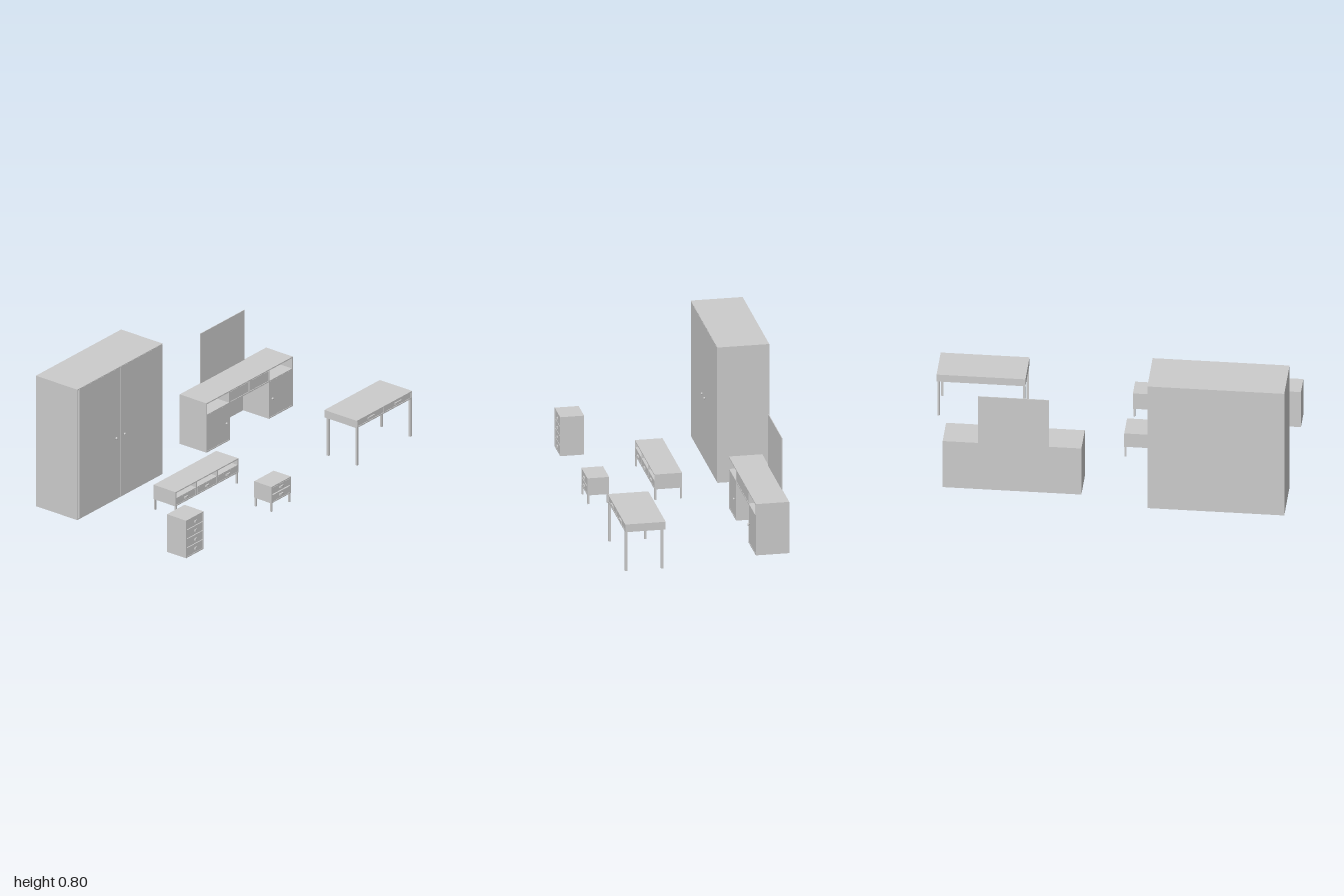
import * as THREE from 'three';

const mat = new THREE.MeshStandardMaterial({ color: 0xcccccc });
const T = 0.007; // board thickness

function add(group, name, geometry) {
  const mesh = new THREE.Mesh(geometry, mat);
  mesh.name = name;
  group.add(mesh);
  return mesh;
}

// Box given by its two extreme corners
function box(group, name, x0, x1, y0, y1, z0, z1) {
  const mesh = add(group, name, new THREE.BoxGeometry(x1 - x0, y1 - y0, z1 - z0));
  mesh.position.set((x0 + x1) / 2, (y0 + y1) / 2, (z0 + z1) / 2);
  return mesh;
}

// Case of boards, open at the front
function carcass(group, x0, x1, y0, y1, z0, z1) {
  box(group, 'topBoard', x0, x1, y1 - T, y1, z0, z1);
  box(group, 'bottomBoard', x0, x1, y0, y0 + T, z0, z1);
  box(group, 'sideBoardRight', x0, x0 + T, y0 + T, y1 - T, z0, z1);
  box(group, 'sideBoardLeft', x1 - T, x1, y0 + T, y1 - T, z0, z1);
  box(group, 'backBoard', x0 + T, x1 - T, y0 + T, y1 - T, z0, z0 + T);
}

function legs(group, x0, x1, h, z0, z1, w) {
  for (const x of [x0, x1 - w])
    for (const z of [z0, z1 - w]) box(group, 'leg', x, x + w, 0, h, z, z + w);
}

// Round knob on a short stem
function knob(group, x, y, z, r) {
  const stem = add(group, 'knobStem', new THREE.CylinderGeometry(r * 0.45, r * 0.45, 0.008, 12));
  stem.rotation.x = Math.PI / 2;
  stem.position.set(x, y, z + 0.003);
  const ball = add(group, 'knob', new THREE.SphereGeometry(r, 16, 12));
  ball.scale.z = 0.8;
  ball.position.set(x, y, z + 0.006);
}

// Half-round cup pull
function pull(group, x, y, z, w) {
  const cup = add(group, 'drawerPull',
    new THREE.CylinderGeometry(w / 2, w / 2, 0.01, 16, 1, false, -Math.PI / 2, Math.PI));
  cup.scale.z = 0.008 / (w / 2);
  cup.position.set(x, y, z);
}

function makeWardrobe() {
  const g = new THREE.Group();
  carcass(g, -1, -0.245, 0.008, 0.8, -0.53, -0.24);
  box(g, 'middleBoard', -0.626, -0.619, 0.015, 0.793, -0.52, -0.25);
  box(g, 'doorRight', -0.984, -0.625, 0.011, 0.797, -0.249, -0.239);
  box(g, 'doorLeft', -0.62, -0.247, 0.011, 0.797, -0.249, -0.239);
  for (const x of [-0.66, -0.587]) knob(g, x, 0.38, -0.24, 0.007);
  return g;
}

function makeVanity() {
  const g = new THREE.Group();
  const x0 = 0.13, x1 = 0.895, z0 = -0.417, z1 = -0.23, shelf = 0.23, top = 0.3;
  box(g, 'topBoard', x0, x1, top - T, top, z0, z1);
  box(g, 'backBoard', x0, x1, 0, top - T, z0, z0 + T);
  box(g, 'shelfBoard', x0, x1, shelf - T, shelf, z0 + T, z1);
  // side cupboards with an open cubby above each
  for (const [a, b, kx] of [[x0, 0.337, 0.303], [0.683, x1, 0.71]]) {
    box(g, 'cupboardSide', a, a + T, 0, top - T, z0 + T, z1);
    box(g, 'cupboardSide', b - T, b, 0, top - T, z0 + T, z1);
    box(g, 'cupboardBottom', a + T, b - T, 0, T, z0 + T, z1);
    box(g, 'cupboardDoor', a + T + 0.001, b - T - 0.001, T + 0.001, shelf - T - 0.001, z1 - 0.01, z1 - 0.001);
    knob(g, kx, 0.115, z1, 0.007);
  }
  // twin drawers over the knee space
  box(g, 'drawerDivider', 0.507, 0.513, shelf, top - T, z0 + T, z1);
  box(g, 'drawerFront', 0.339, 0.505, shelf + 0.002, top - T - 0.002, z1 - 0.01, z1 - 0.001);
  box(g, 'drawerFront', 0.515, 0.681, shelf + 0.002, top - T - 0.002, z1 - 0.01, z1 - 0.001);
  box(g, 'mirror', 0.31, 0.7, top, 0.602, z0, z0 + 0.004);
  return g;
}

function makeDesk() {
  const g = new THREE.Group();
  carcass(g, 0.51, 1, 0.228, 0.273, 0.295, 0.521);
  legs(g, 0.513, 0.997, 0.228, 0.308, 0.521, 0.013);
  box(g, 'drawerDivider', 0.752, 0.758, 0.235, 0.266, 0.302, 0.521);
  for (const x of [0.637, 0.873]) {
    box(g, 'drawerFront', x - 0.113, x + 0.113, 0.236, 0.265, 0.51, 0.519);
    box(g, 'drawerPull', x - 0.028, x + 0.028, 0.245, 0.257, 0.519, 0.526);
  }
  return g;
}

function makeChest() {
  const g = new THREE.Group();
  carcass(g, -1, -0.845, 0, 0.228, 0.387, 0.521);
  for (let i = 0; i < 4; i++) {
    const y = 0.033 + i * 0.0545;
    box(g, 'drawerFront', -0.989, -0.853, y - 0.025, y + 0.025, 0.51, 0.52);
    pull(g, -0.918, y, 0.52, 0.02);
  }
  return g;
}

function makeMediaStand() {
  const g = new THREE.Group();
  const x0 = -0.62, x1 = -0.065, z0 = -0.007, z1 = 0.147;
  carcass(g, x0, x1, 0.063, 0.15, z0, z1);
  legs(g, x0 + 0.002, x1 - 0.002, 0.063, z0, z1, 0.01);
  box(g, 'shelfBoard', x0 + T, x1 - T, 0.107, 0.112, z0 + T, z1);
  const w = (x1 - x0) / 3;
  for (let i = 0; i < 3; i++) {
    const x = x0 + w * (i + 0.5);
    if (i) box(g, 'divider', x - w / 2 - 0.003, x - w / 2 + 0.003, 0.07, 0.143, z0 + T, z1);
    box(g, 'drawerFront', x - w / 2 + 0.008, x + w / 2 - 0.008, 0.071, 0.106, z1 - 0.01, z1 - 0.001);
    pull(g, x, 0.089, z1 - 0.001, 0.035);
  }
  return g;
}

function makeNightstand() {
  const g = new THREE.Group();
  carcass(g, -0.245, -0.072, 0.052, 0.152, 0.4, 0.521);
  legs(g, -0.243, -0.074, 0.052, 0.401, 0.52, 0.01);
  for (const y of [0.08, 0.125]) {
    box(g, 'drawerFront', -0.236, -0.081, y - 0.02, y + 0.018, 0.51, 0.52);
    pull(g, -0.159, y, 0.52, 0.035);
  }
  return g;
}

export function createModel() {
  const model = new THREE.Group();
  model.name = 'furnitureSet';
  const pieces = {
    wardrobe: makeWardrobe, vanity: makeVanity, desk: makeDesk,
    chestOfDrawers: makeChest, mediaStand: makeMediaStand, nightstand: makeNightstand,
  };
  for (const [name, make] of Object.entries(pieces)) {
    const piece = make();
    piece.name = name;
    model.add(piece);
  }
  return model;
}
